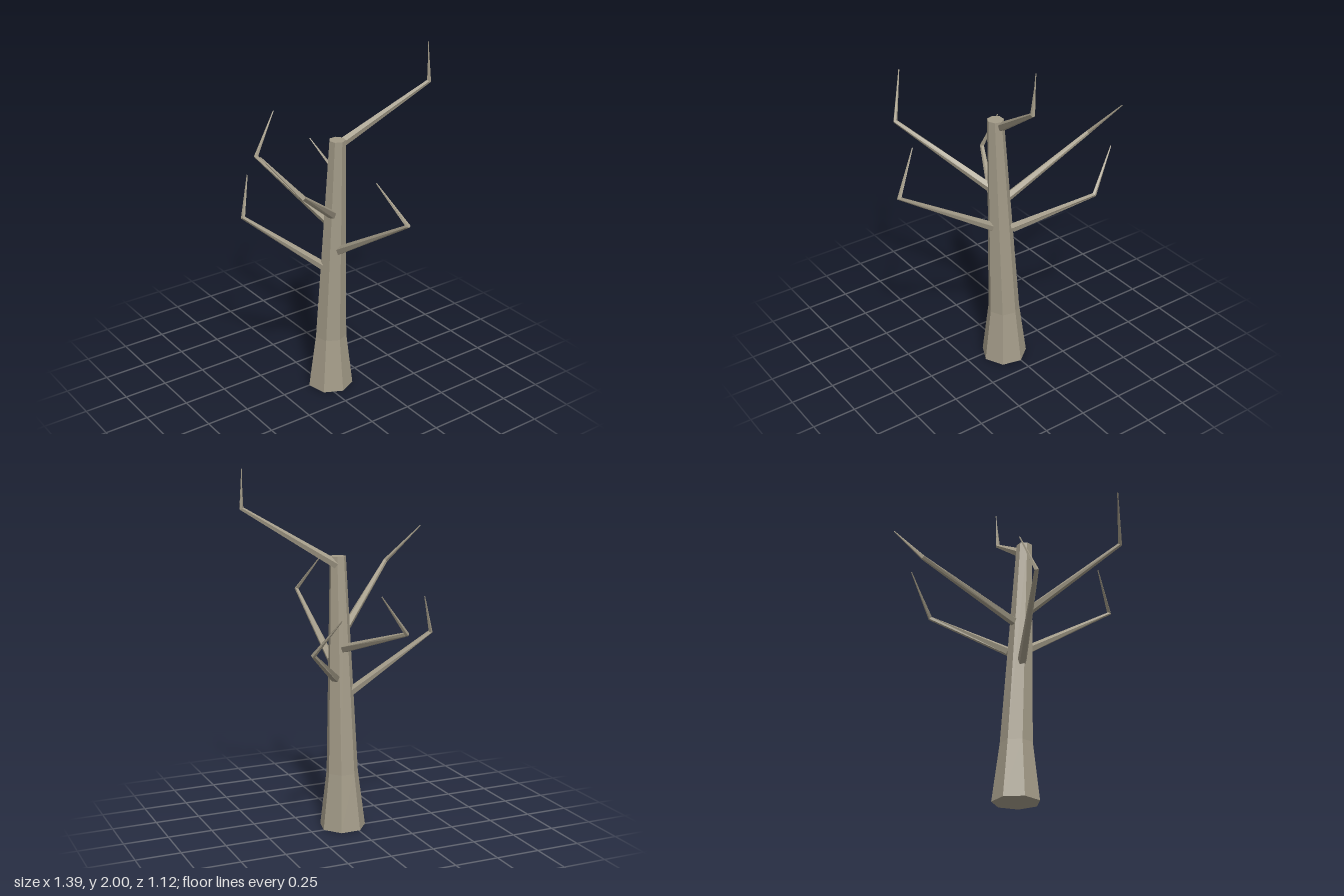
import * as THREE from 'three';

const V = (a) => new THREE.Vector3(...a);

// Closed faceted tube through points, with one radius and one ring normal per point
function loft(points, radii, normals, sides) {
  const rings = points.map((p, i) => {
    const n = normals[i].clone().normalize();
    // u stays close to +x for upright rings, so a corner points to +x
    const ref = Math.abs(n.y) > 0.98 ? new THREE.Vector3(1, 0, 0) : new THREE.Vector3(0, 1, 0);
    const u = ref.addScaledVector(n, -ref.dot(n)).normalize();
    const w = new THREE.Vector3().crossVectors(n, u);
    return Array.from({ length: sides }, (_, k) => {
      const a = (k / sides) * Math.PI * 2;
      return p.clone()
        .addScaledVector(u, Math.cos(a) * radii[i])
        .addScaledVector(w, Math.sin(a) * radii[i]);
    });
  });
  const pos = [];
  const tri = (...vs) => vs.forEach((v) => pos.push(v.x, v.y, v.z));
  const last = rings.length - 1;
  for (let k = 0; k < sides; k++) {
    const m = (k + 1) % sides;
    for (let i = 0; i < last; i++) {
      const a = rings[i][k], b = rings[i][m], c = rings[i + 1][m], d = rings[i + 1][k];
      tri(a, b, c);
      tri(a, c, d);
    }
    tri(points[0], rings[0][m], rings[0][k]);
    tri(points[last], rings[last][k], rings[last][m]);
  }
  const geo = new THREE.BufferGeometry();
  geo.setAttribute('position', new THREE.Float32BufferAttribute(pos, 3));
  geo.computeVertexNormals();
  return geo;
}

export function createModel() {
  const group = new THREE.Group();
  const bark = new THREE.MeshStandardMaterial({ color: 0xa39b88, flatShading: true });
  bark.name = 'bark';

  const add = (name, geo) => {
    const mesh = new THREE.Mesh(geo, bark);
    mesh.name = name;
    group.add(mesh);
  };

  // Seven-sided trunk, flared at the foot and leaning slightly
  const up = new THREE.Vector3(0, 1, 0);
  add('trunk', loft(
    [V([0.03, 0, -0.05]), V([0.033, 0.32, -0.05]), V([0.086, 1.525, -0.05])],
    [0.13, 0.09, 0.045], [up, up, up], 7));

  // Bent branches: root, elbow, tip
  const branches = {
    topBackBranch: [[0.065, 1.48, -0.065], [0.22, 1.79, -0.55], [0.205, 2, -0.55]],
    leftBranch: [[0.09, 0.87, -0.05], [0.685, 1.255, -0.055], [0.54, 1.46, 0.038]],
    frontLeftBranch: [[0.08, 1.09, -0.03], [0.425, 1.43, 0.4], [0.295, 1.64, 0.56]],
    frontRightBranch: [[0.035, 0.77, 0.0], [-0.14, 1.11, 0.405], [-0.2, 1.32, 0.335]],
    rightBranch: [[0.03, 1.02, -0.045], [-0.605, 1.215, 0.025], [-0.692, 1.43, -0.155]],
    backRightBranch: [[0.01, 0.865, -0.1], [-0.335, 1.085, -0.37], [-0.51, 1.29, -0.285]],
  };
  for (const [name, path] of Object.entries(branches)) {
    const p = path.map(V);
    const d0 = p[1].clone().sub(p[0]).normalize();
    const d1 = p[2].clone().sub(p[1]).normalize();
    add(name, loft(p, [0.026, 0.013, 0.003], [d0, d0.clone().add(d1), d1], 5));
  }
  return group;
}
